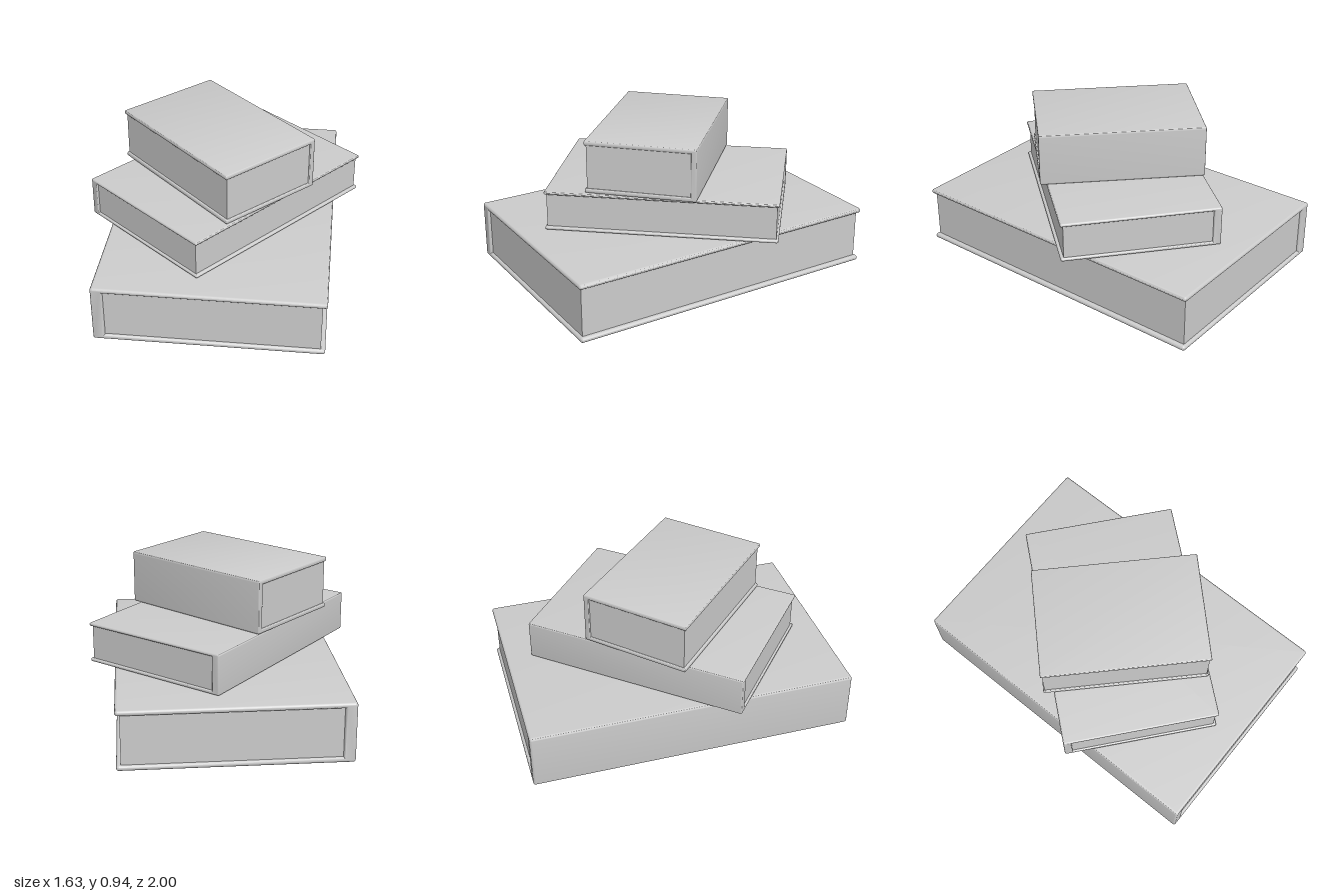
import * as THREE from 'three';
import { toCreasedNormals } from 'three/addons/utils/BufferGeometryUtils.js';

const W = 1.35, H = 0.363, L = 2;      // master book: width, height, length
const BOARD = 0.031, SPINE = 0.07;     // cover board and spine thickness
const BEVEL = 0.014;

// C-shaped cover: two boards with rounded tips joined by a spine at -x
function coverGeometry() {
  const x0 = -W / 2, x1 = W / 2, r = BOARD / 2, c = 0.016;
  const s = new THREE.Shape();
  s.moveTo(x0 + c, 0);
  s.lineTo(x1 - r, 0);
  s.absarc(x1 - r, r, r, -Math.PI / 2, Math.PI / 2, false);
  s.lineTo(x0 + SPINE, BOARD);
  s.lineTo(x0 + SPINE, H - BOARD);
  s.lineTo(x1 - r, H - BOARD);
  s.absarc(x1 - r, H - r, r, -Math.PI / 2, Math.PI / 2, false);
  s.lineTo(x0 + c, H);
  s.quadraticCurveTo(x0, H, x0, H - c);
  s.lineTo(x0, c);
  s.quadraticCurveTo(x0, 0, x0 + c, 0);
  const g = new THREE.ExtrudeGeometry(s, {
    depth: L - 2 * BEVEL, curveSegments: 8,
    bevelEnabled: true, bevelSize: BEVEL, bevelThickness: BEVEL,
    bevelOffset: -BEVEL, bevelSegments: 4,
  });
  g.translate(0, 0, -L / 2 + BEVEL);
  return toCreasedNormals(g, 0.7);
}

// Page block, set back from the cover on its three open sides
function pagesGeometry() {
  const left = -W / 2 + SPINE - 0.02, right = W / 2 - 0.026;
  const g = new THREE.BoxGeometry(right - left, H - BOARD, L - 0.036);
  g.translate((left + right) / 2, H / 2, 0);
  return g;
}

export function createModel() {
  const model = new THREE.Group();
  model.name = 'bookStack';
  const material = new THREE.MeshStandardMaterial({ color: 0xcccccc });
  const cover = coverGeometry(), pages = pagesGeometry();

  // size: width, height, length; position: centre of the underside
  const books = [
    { name: 'bottomBook', size: [1.35, 0.363, 2], position: [-0.01, 0, 0], turn: 0 },
    { name: 'middleBook', size: [0.955, 0.249, 1.406], position: [-0.005, 0.366, 0], turn: -0.698 },
    { name: 'topBook', size: [0.677, 0.326, 1.006], position: [-0.06, 0.617, 0.05], turn: -2.353 },
  ];
  for (const { name, size, position, turn } of books) {
    const book = new THREE.Group();
    book.name = name;
    for (const [part, geometry] of [['cover', cover], ['pages', pages]]) {
      const mesh = new THREE.Mesh(geometry, material);
      mesh.name = part;
      book.add(mesh);
    }
    book.scale.set(size[0] / W, size[1] / H, size[2] / L);
    book.position.set(...position);
    book.rotation.y = turn;
    model.add(book);
  }
  return model;
}
